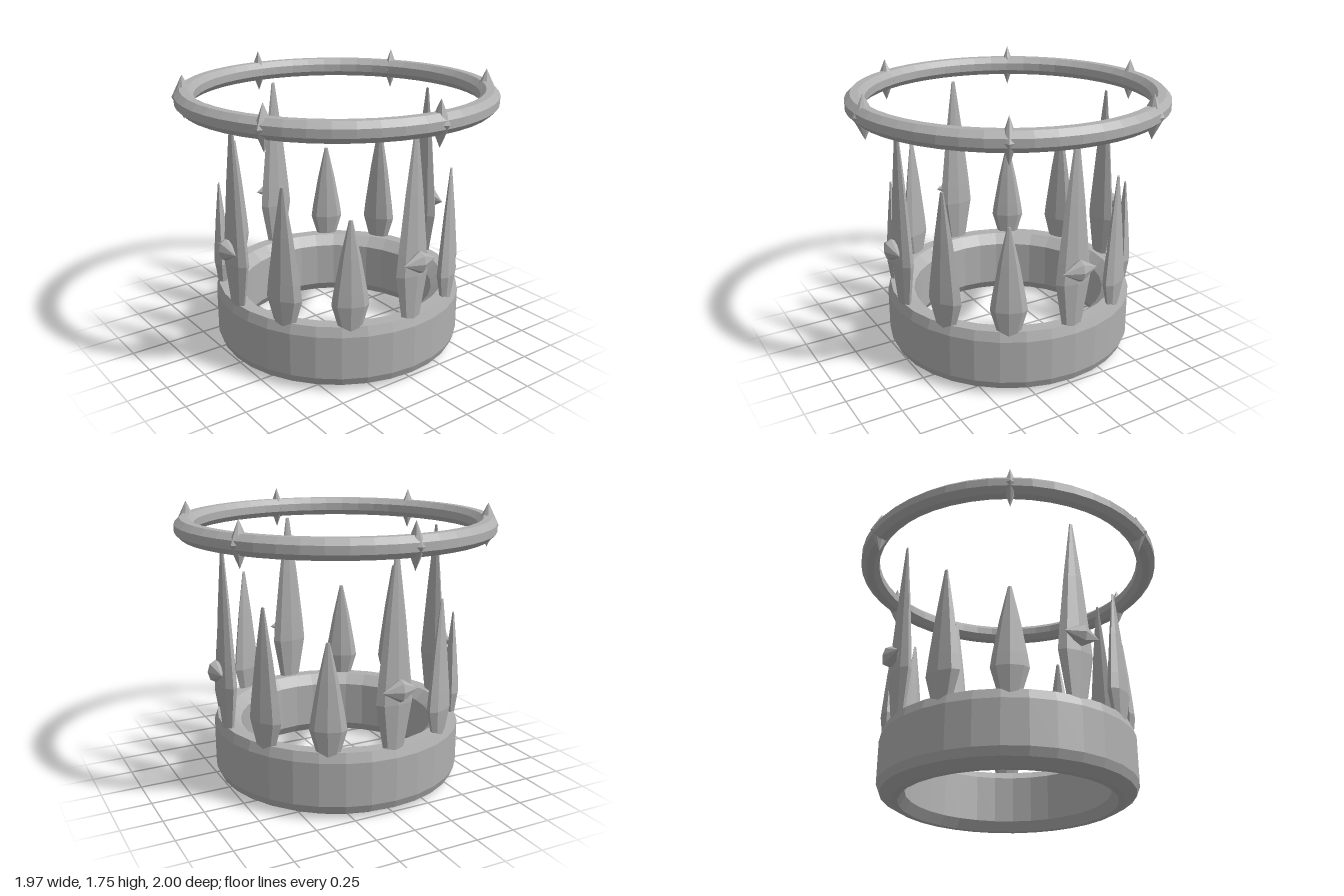
import * as THREE from 'three';

const metal = new THREE.MeshStandardMaterial({ color: 0xb0b0b0 });
metal.name = 'grey metal';

// Faceted lathe from [radius, y] pairs
function facetedLathe(points, sides) {
  const profile = points.map(([r, y]) => new THREE.Vector2(r, y));
  const geometry = new THREE.LatheGeometry(profile, sides).toNonIndexed();
  geometry.computeVertexNormals();
  return geometry;
}

function rescale(geometry, x, y, z) {
  geometry.scale(x, y, z);
  geometry.computeVertexNormals();
  return geometry;
}

// Blade-like spike: flattened, widest near the bottom, tapering to a tip
function spikeGeometry(height, width, belly) {
  const top = 1 - belly;
  const g = facetedLathe([
    [0, 0], [0.52, 0], [1, belly], [0.9, belly + top * 0.15],
    [0.55, belly + top * 0.56], [0.1, 0.995], [0, 1],
  ], 8);
  return rescale(g, width, height, 0.052);
}

// Double-pointed stud standing along y
function studGeometry(x, y, z) {
  return rescale(facetedLathe([[0, -1], [1, 0], [0, 1]], 8), x, y, z);
}

export function createModel() {
  const crown = new THREE.Group();
  crown.name = 'crown';

  // Places a part around the vertical axis, facing outward
  function place(name, geometry, angle, radius, y) {
    const mesh = new THREE.Mesh(geometry, metal);
    mesh.name = name;
    mesh.position.set(Math.sin(angle) * radius, y, Math.cos(angle) * radius);
    mesh.rotation.y = angle;
    crown.add(mesh);
  }

  // Bevelled base band
  place('band', facetedLathe([
    [0.70, 0], [0.77, 0.04], [0.79, 0.09], [0.79, 0.36], [0.77, 0.42],
    [0.69, 0.42], [0.62, 0.36], [0.62, 0.06], [0.66, 0], [0.70, 0],
  ], 32), 0, 0, 0);

  // Floating halo ring with an octagonal section
  const section = [];
  for (let i = 0; i <= 8; i++) {
    const a = (i - 0.5) * Math.PI / 4;
    section.push([0.926 + 0.064 * Math.cos(a), 1.62 + 0.064 * Math.sin(a)]);
  }
  place('halo', facetedLathe(section, 48), 0, 0, 0);

  // Spikes repeat tall, medium, short around the band
  const spikes = [
    ['tallSpike', spikeGeometry(1.20, 0.12, 0.265)],
    ['mediumSpike', spikeGeometry(0.87, 0.115, 0.22)],
    ['shortSpike', spikeGeometry(0.70, 0.11, 0.26)],
  ];
  for (let i = 0; i < 12; i++) {
    const [name, geometry] = spikes[i % 3];
    place(name, geometry, i * Math.PI / 6, 0.745, 0.37);
  }

  // Sideways gems on the tall spikes
  const gem = studGeometry(0.07, 0.118, 0.05).rotateZ(Math.PI / 2);
  for (let i = 0; i < 4; i++) place('gem', gem, i * Math.PI / 2, 0.812, 0.78);

  // Upright studs on the halo
  const stud = studGeometry(0.044, 0.135, 0.068);
  for (let i = 0; i < 6; i++) place('haloStud', stud, i * Math.PI / 3, 0.932, 1.62);

  return crown;
}
